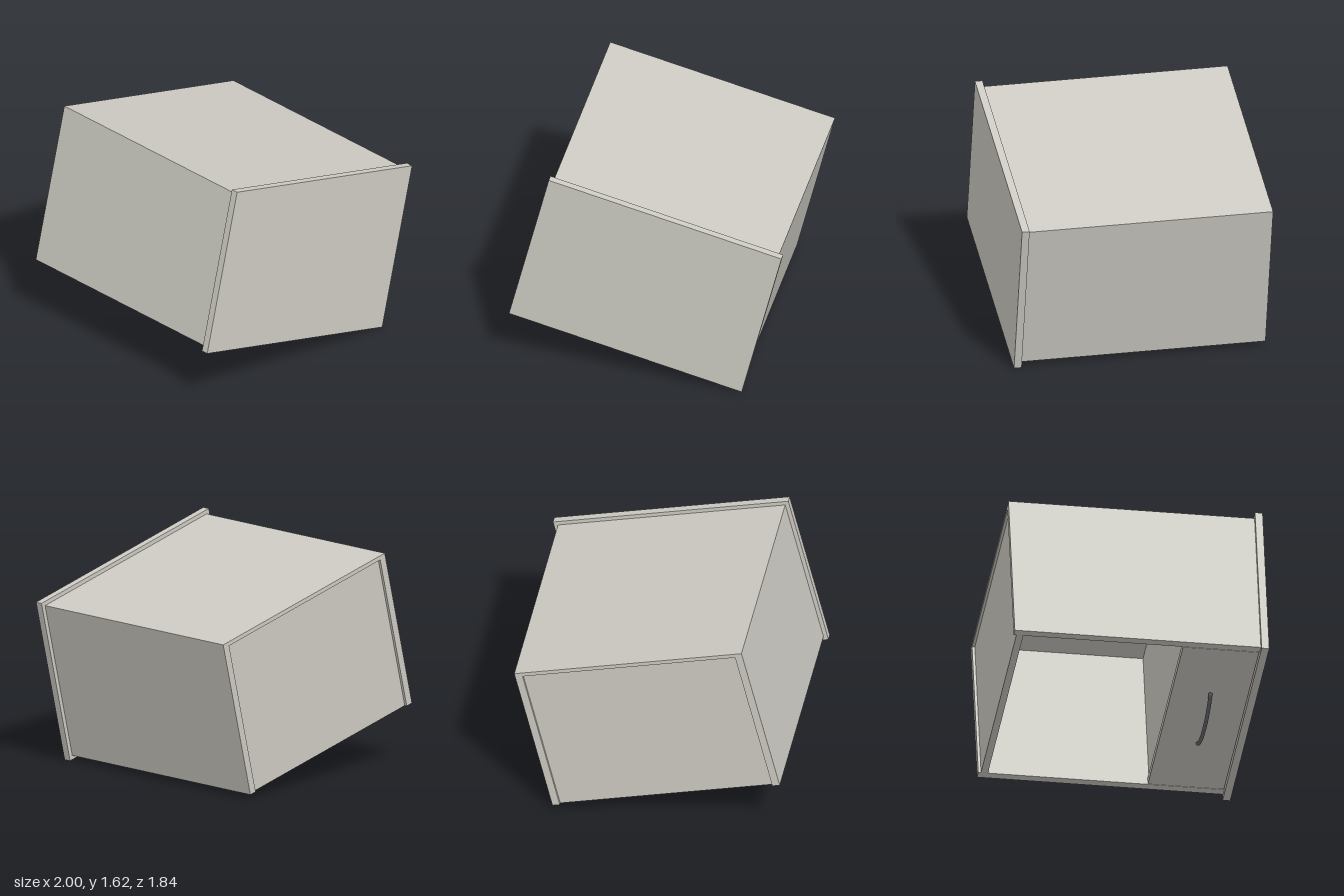
import * as THREE from 'three';

export function createModel() {
  const model = new THREE.Group();
  model.name = 'tippedNightstand';

  const wood = new THREE.MeshStandardMaterial({ color: 0xcccac2 });
  const metal = new THREE.MeshStandardMaterial({ color: 0x666a70 });

  // Cabinet lies on its drawer side: its tabletop faces +z, its back faces up
  const cabinet = new THREE.Group();
  cabinet.name = 'cabinet';

  const W = 0.85, H = 0.59;       // half width and half depth of the carcass
  const T = 0.055;                // board thickness
  const backZ = -0.92, topZ = 0.865;

  // Board given by its extents on each axis
  function board(name, [x0, x1], [y0, y1], [z0, z1]) {
    const mesh = new THREE.Mesh(new THREE.BoxGeometry(x1 - x0, y1 - y0, z1 - z0), wood);
    mesh.position.set((x0 + x1) / 2, (y0 + y1) / 2, (z0 + z1) / 2);
    mesh.name = name;
    cabinet.add(mesh);
  }

  // Overhanging tabletop
  board('tabletop', [-0.88, 0.88], [-0.62, 0.62], [topZ, 0.92]);

  // Side boards
  board('leftSide', [W - T, W], [-H, H], [backZ, topZ]);
  board('rightSide', [-W, -W + T], [-H, H], [backZ, topZ]);

  // Back board, slightly recessed floor and the shelf under the drawer
  const inner = [-W + T, W - T];
  board('backBoard', inner, [H - 0.03, H], [backZ, topZ]);
  board('floorBoard', inner, [-H, H - 0.03], [backZ + 0.02, backZ + 0.07]);
  board('shelf', inner, [-H + T + 0.012, H - 0.03], [0.32, 0.36]);

  // Drawer front, flush with the sides with narrow gaps
  board('drawerFront', [-W + T + 0.004, W - T - 0.004], [-H, -H + T], [0.31, topZ - 0.004]);

  // Bowed drawer handle
  const bow = [[-0.288, -0.585], [-0.27, -0.61], [-0.15, -0.66], [0, -0.677],
    [0.15, -0.66], [0.27, -0.61], [0.288, -0.585]];
  const path = new THREE.CatmullRomCurve3(bow.map(([x, y]) => new THREE.Vector3(x, y, 0.59)));
  const handle = new THREE.Mesh(new THREE.TubeGeometry(path, 40, 0.014, 12), metal);
  handle.name = 'drawerHandle';
  cabinet.add(handle);

  // Tilt the whole cabinet onto one corner
  cabinet.rotation.z = -Math.atan2(0.415, 1.71);
  cabinet.position.y = 0.81;
  model.add(cabinet);
  return model;
}
